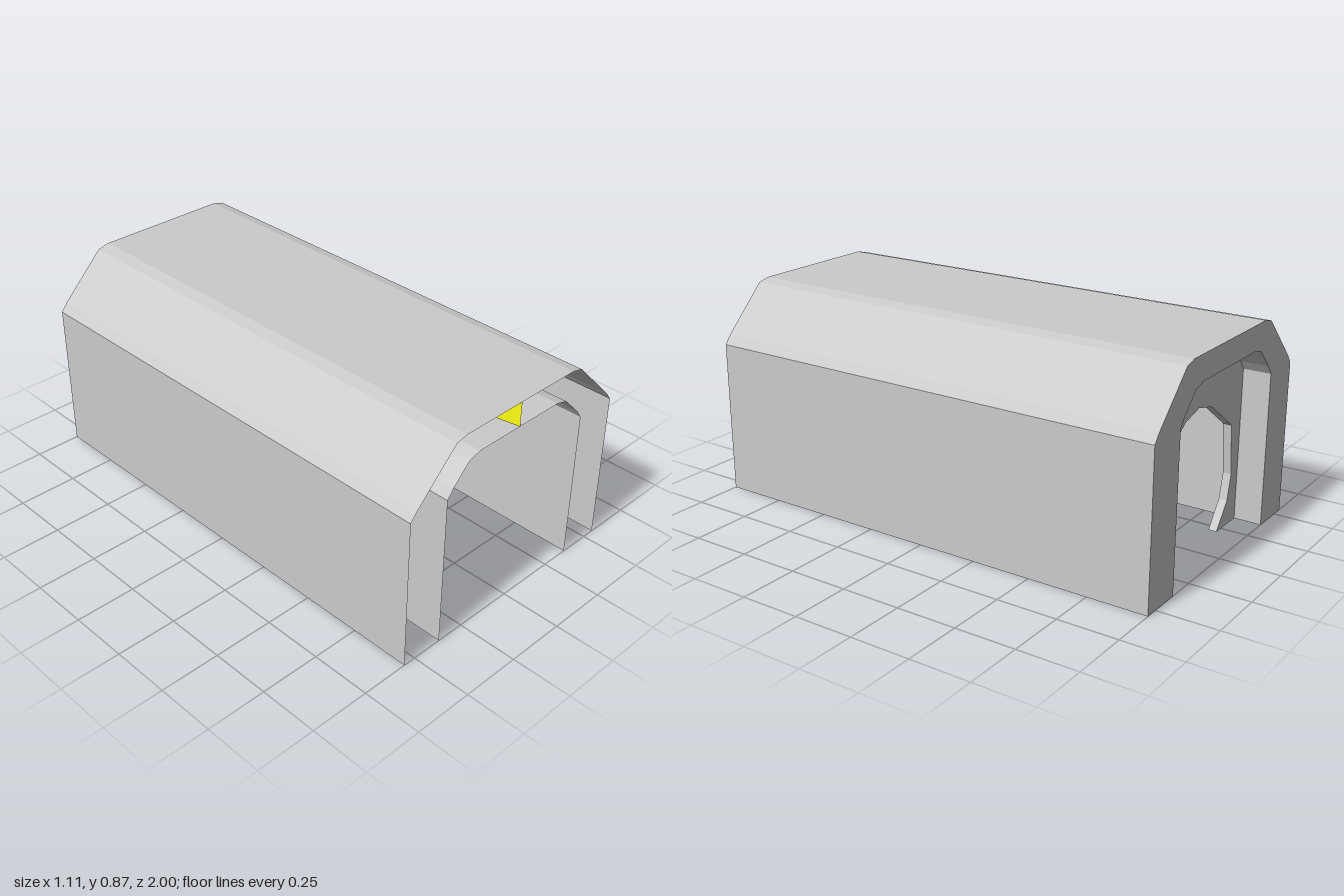
import * as THREE from 'three';

const grey = new THREE.MeshStandardMaterial({ color: 0xcccccc, flatShading: true, side: THREE.DoubleSide });
const yellow = new THREE.MeshStandardMaterial({ color: 0xffff14, flatShading: true, side: THREE.DoubleSide });

// Half profiles of the two arches, from the floor on the +x side up to the flat roof
const OUTER = [[0.553, 0], [0.553, 0.635], [0.526, 0.67], [0.34, 0.855], [0.29, 0.867]];
const INNER = [[0.37, 0], [0.37, 0.635], [0.343, 0.673], [0.266, 0.75], [0.213, 0.765]];
const HOLE = [[0.21, 0], [0.29, 0.105], [0.315, 0.21], [0.29, 0.425], [0.105, 0.555]];

// Full outline from the -x foot, over the top, to the +x foot
const mirror = (half, middle = []) => [
  ...half.map(([x, y]) => [-x, y]), ...middle, ...half.slice().reverse(),
];

// Ribbon of quads between two rows of 3D points
function strip(name, rowA, rowB, material) {
  const index = [];
  for (let i = 0; i < rowA.length - 1; i++) {
    const a = i, b = i + 1, c = rowA.length + i, d = c + 1;
    index.push(a, c, b, b, c, d);
  }
  const geometry = new THREE.BufferGeometry();
  geometry.setAttribute('position', new THREE.Float32BufferAttribute([...rowA, ...rowB].flat(), 3));
  geometry.setIndex(index);
  geometry.computeVertexNormals();
  const mesh = new THREE.Mesh(geometry, material);
  mesh.name = name;
  return mesh;
}

const atZ = (outline, z) => outline.map(([x, y]) => [x, y, z]);

export function createModel() {
  const group = new THREE.Group();
  group.name = 'archedCover';
  const outer = mirror(OUTER), inner = mirror(INNER);

  // Two nested open-ended shells
  group.add(strip('outerShell', atZ(outer, 1), atZ(outer, -1), grey));
  group.add(strip('innerShell', atZ(inner, 1), atZ(inner, -1), grey));

  // Rim closing the gap between the shells at the back
  group.add(strip('backRim', atZ(outer, -1), atZ(inner, -1), grey));

  // Recessed plate with a rounded opening
  const outline = [...inner, ...mirror(HOLE, [[0, 0.58]]).reverse()];
  const shape = new THREE.Shape(outline.map(([x, y]) => new THREE.Vector2(x, y)));
  const plate = new THREE.Mesh(
    new THREE.ExtrudeGeometry(shape, { depth: 0.035, bevelEnabled: false }), grey);
  plate.name = 'openingPlate';
  plate.position.z = -0.885;
  group.add(plate);

  // Winding ramp in the gap: [outer point, inner point, z] around the arch
  const left = (i) => [outer[i], inner[i]];
  const leg = (side, y) => [[side * 0.553, y], [side * 0.37, y]];
  const roof = (x) => [[x, 0.867], [x, 0.765]];
  const stations = [
    [...left(0), 0.26],
    [...leg(-1, 0.21), -0.1],
    [...left(1), -0.38],
    [...left(2), -0.36],
    [...left(3), 0.02],
    [...left(4), 0.14],
    [...roof(-0.055), 0.68],
    [...roof(0), 1],
    [...roof(0), 0.43],
    [...left(5), 0.43],
    [...left(6), 0.42],
    [...left(7), 0.3],
    [...left(8), 0.295],
    [...leg(1, 0.53), 0.265],
    [...left(9), 0.265],
  ];
  group.add(strip('windingRamp',
    stations.map(([o, , z]) => [...o, z]),
    stations.map(([, i, z]) => [...i, z]), yellow));

  return group;
}
